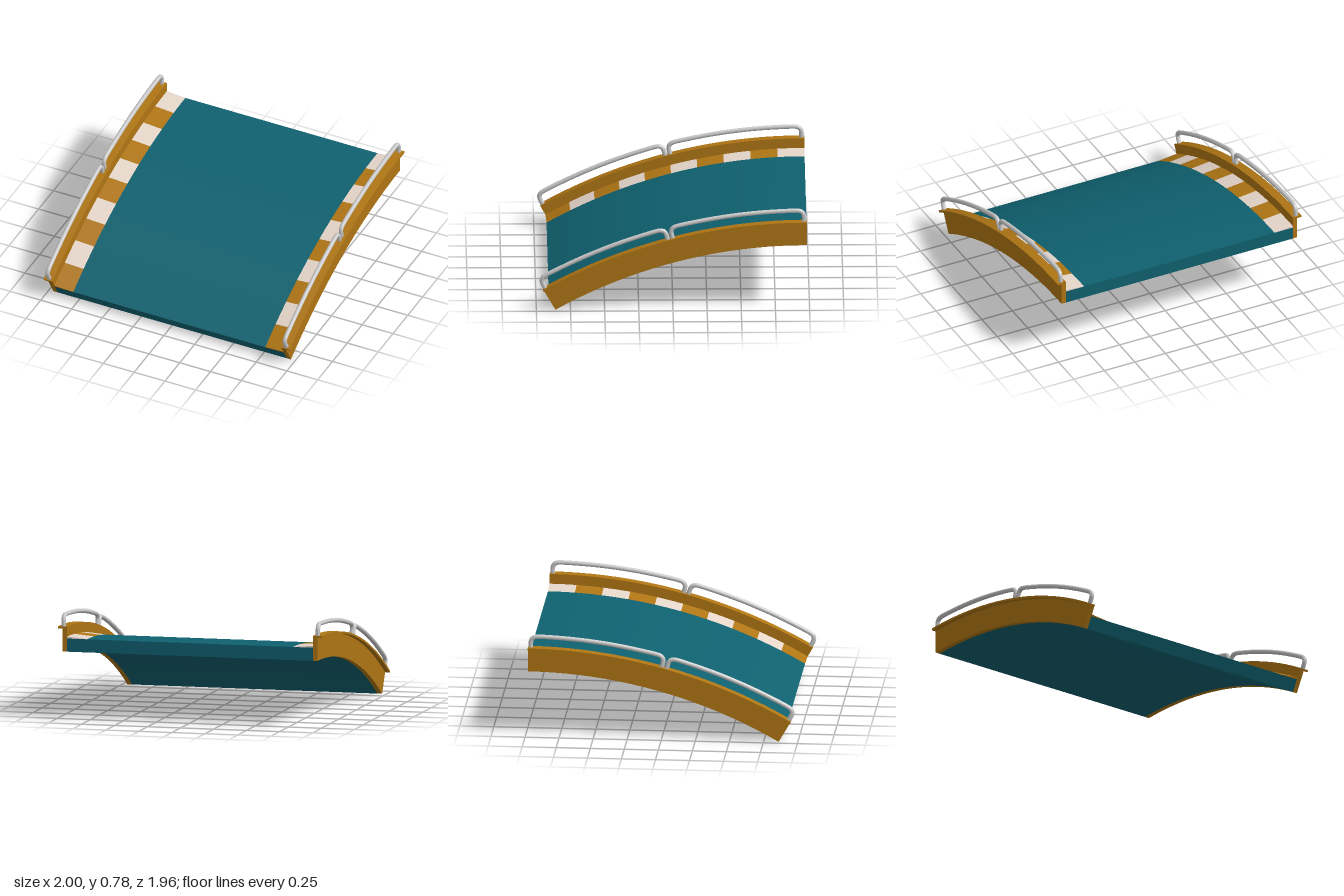
import * as THREE from 'three';
import { toCreasedNormals } from 'three/addons/utils/BufferGeometryUtils.js';

// The bridge follows a 30 degree arc about a centre line below its high end.
const CY = -3.187, CZ = -0.98;
const R_BOTTOM = 3.68, R_ROAD = 3.777, R_CURB = 3.791, R_LEDGE = 3.85, R_TOP = 3.865;
const rad = THREE.MathUtils.degToRad;

const mat = (color) => new THREE.MeshStandardMaterial({ color });
const teal = mat(0x0f6170), orange = mat(0xb07614), white = mat(0xe6d6ca), grey = mat(0xcccccc);

const onArc = (x, r, deg) =>
  new THREE.Vector3(x, CY + r * Math.cos(rad(deg)), CZ + r * Math.sin(rad(deg)));

// Extrude a section of [x, radius] points, then bend it along the arc.
function bentSection(section, from, to, steps) {
  const shape = new THREE.Shape(section.map(([x, r]) => new THREE.Vector2(x, r)));
  const geo = new THREE.ExtrudeGeometry(shape, { depth: to - from, steps, bevelEnabled: false });
  const pos = geo.attributes.position;
  for (let i = 0; i < pos.count; i++) {
    const p = onArc(pos.getX(i), pos.getY(i), from + pos.getZ(i));
    pos.setXYZ(i, p.x, p.y, p.z);
  }
  return toCreasedNormals(geo, 0.08);
}

// Rail with radial posts and rounded corners, running along the arc.
function railGeometry(x, from, to) {
  const rTop = 3.946, bend = 0.05, bendDeg = 0.75;
  const corner = (deg, dir) => new THREE.QuadraticBezierCurve3(
    onArc(x, rTop - bend, deg), onArc(x, rTop, deg), onArc(x, rTop, deg + dir * bendDeg)).getPoints(4);
  const points = [onArc(x, R_LEDGE, from), ...corner(from, 1)];
  for (let i = 1; i < 6; i++) points.push(onArc(x, rTop, from + ((to - from) * i) / 6));
  points.push(...corner(to, -1).reverse(), onArc(x, R_LEDGE, to));
  const path = new THREE.CatmullRomCurve3(points, false, 'centripetal');
  return new THREE.TubeGeometry(path, 80, 0.017, 8);
}

export function createModel() {
  const model = new THREE.Group();
  const add = (name, geo, material, parent = model) => {
    const mesh = new THREE.Mesh(geo, material);
    mesh.name = name;
    parent.add(mesh);
  };

  // Road slab
  add('roadDeck', bentSection(
    [[-0.93, R_BOTTOM], [0.93, R_BOTTOM], [0.93, R_ROAD], [-0.93, R_ROAD]], 0, 30, 20), teal);

  for (const [side, s] of [['left', 1], ['right', -1]]) {
    // Side wall with an outward ledge on top
    add(side + 'SideWall', bentSection([
      [0.93, R_BOTTOM], [0.965, R_BOTTOM], [0.965, R_LEDGE],
      [1, R_LEDGE], [1, R_TOP], [0.93, R_TOP],
    ].map(([x, r]) => [s * x, r]), 0, 30, 20), orange);

    // Striped sloping curb
    const curb = new THREE.Group();
    curb.name = side + 'Curb';
    model.add(curb);
    for (let i = 0; i < 10; i++) {
      add('curbStripe', bentSection(
        [[s * 0.78, R_ROAD], [s * 0.93, R_ROAD], [s * 0.93, R_CURB]], i * 3, i * 3 + 3, 2),
      i % 2 ? orange : white, curb);
    }

    // Two handrails end to end
    add(side + 'BackRail', railGeometry(s * 0.963, 0.3, 14.72), grey);
    add(side + 'FrontRail', railGeometry(s * 0.963, 15.28, 29.7), grey);
  }
  return model;
}
